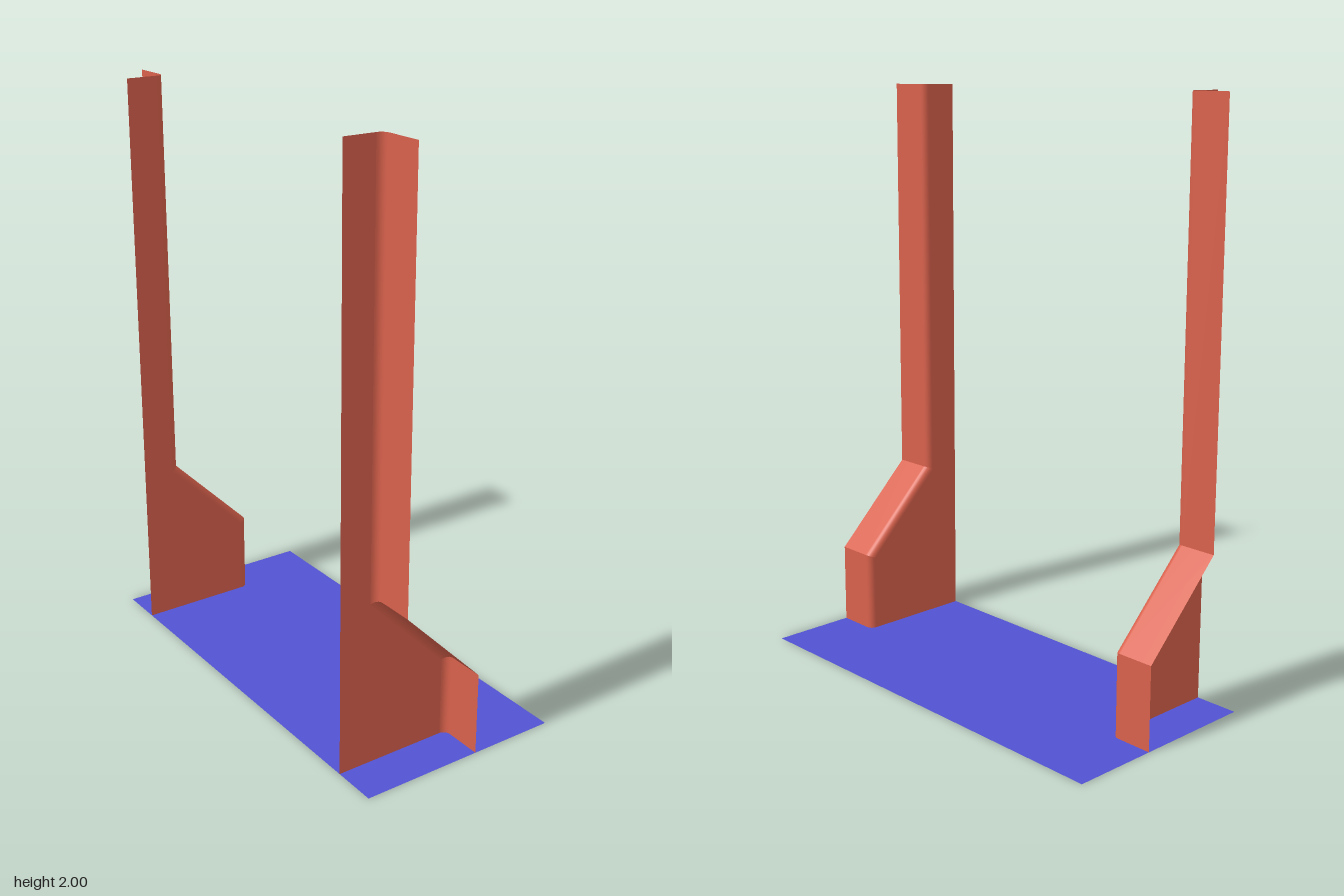
import * as THREE from 'three';

const X_BACK = -0.362, Z_WALL = 0.613, Z_OUT = 0.766, BEND = 0.025, ARC_STEPS = 6;

const red = new THREE.MeshStandardMaterial({ color: 0xd9614c, side: THREE.DoubleSide });
const blue = new THREE.MeshStandardMaterial({ color: 0x5252d2, side: THREE.DoubleSide });

// Front edge of a post, moved inward by d
const frontEdge = (d) => [
  [-0.225 - d, 2],
  [-0.225 - d, 0.574 - 0.41 * d],
  [0.062 - d, 0.286 - 0.41 * d],
  [0.062 - d, 0],
];

// Flat side wall of a post
function wallGeometry(side) {
  const outline = [[X_BACK, 0], [X_BACK, 2], ...frontEdge(BEND)];
  const shape = new THREE.Shape(outline.map(([x, y]) => new THREE.Vector2(x, y)));
  return new THREE.ShapeGeometry(shape).translate(0, 0, side * Z_WALL);
}

// One straight run of the flange: rounded bend from the wall, then a flat strip
function flangeGeometry(run, side) {
  const rows = [];
  for (let i = 0; i <= ARC_STEPS; i++) {
    const a = (i / ARC_STEPS) * Math.PI / 2;
    rows.push([BEND * (1 - Math.sin(a)), Z_WALL + BEND * (1 - Math.cos(a))]);
  }
  rows.push([0, Z_OUT]);

  const positions = [], index = [];
  rows.forEach(([d, z], i) => {
    const edge = frontEdge(d);
    positions.push(...edge[run], side * z, ...edge[run + 1], side * z);
    if (i === 0) return;
    const a = 2 * i - 2, b = a + 1, c = a + 2, e = a + 3;
    index.push(...(side > 0 ? [a, c, b, b, c, e] : [a, b, c, b, e, c]));
  });
  const geometry = new THREE.BufferGeometry();
  geometry.setAttribute('position', new THREE.Float32BufferAttribute(positions, 3));
  geometry.setIndex(index);
  geometry.computeVertexNormals();
  return geometry;
}

function createPost(side) {
  const post = new THREE.Group();
  post.name = side > 0 ? 'frontPost' : 'backPost';
  const add = (geometry, name) => {
    const mesh = new THREE.Mesh(geometry, red);
    mesh.name = name;
    post.add(mesh);
  };
  add(wallGeometry(side), 'sideWall');
  ['upperFlange', 'slopedFlange', 'lowerFlange'].forEach((name, run) => add(flangeGeometry(run, side), name));
  return post;
}

export function createModel() {
  const model = new THREE.Group();
  model.name = 'postsOnBase';

  // Thin base sheet
  const base = new THREE.Mesh(new THREE.PlaneGeometry(-2 * X_BACK, 2 * Z_OUT).rotateX(-Math.PI / 2), blue);
  base.name = 'basePlate';
  model.add(base);

  // Mirrored pair of posts
  for (const side of [1, -1]) model.add(createPost(side));
  return model;
}
